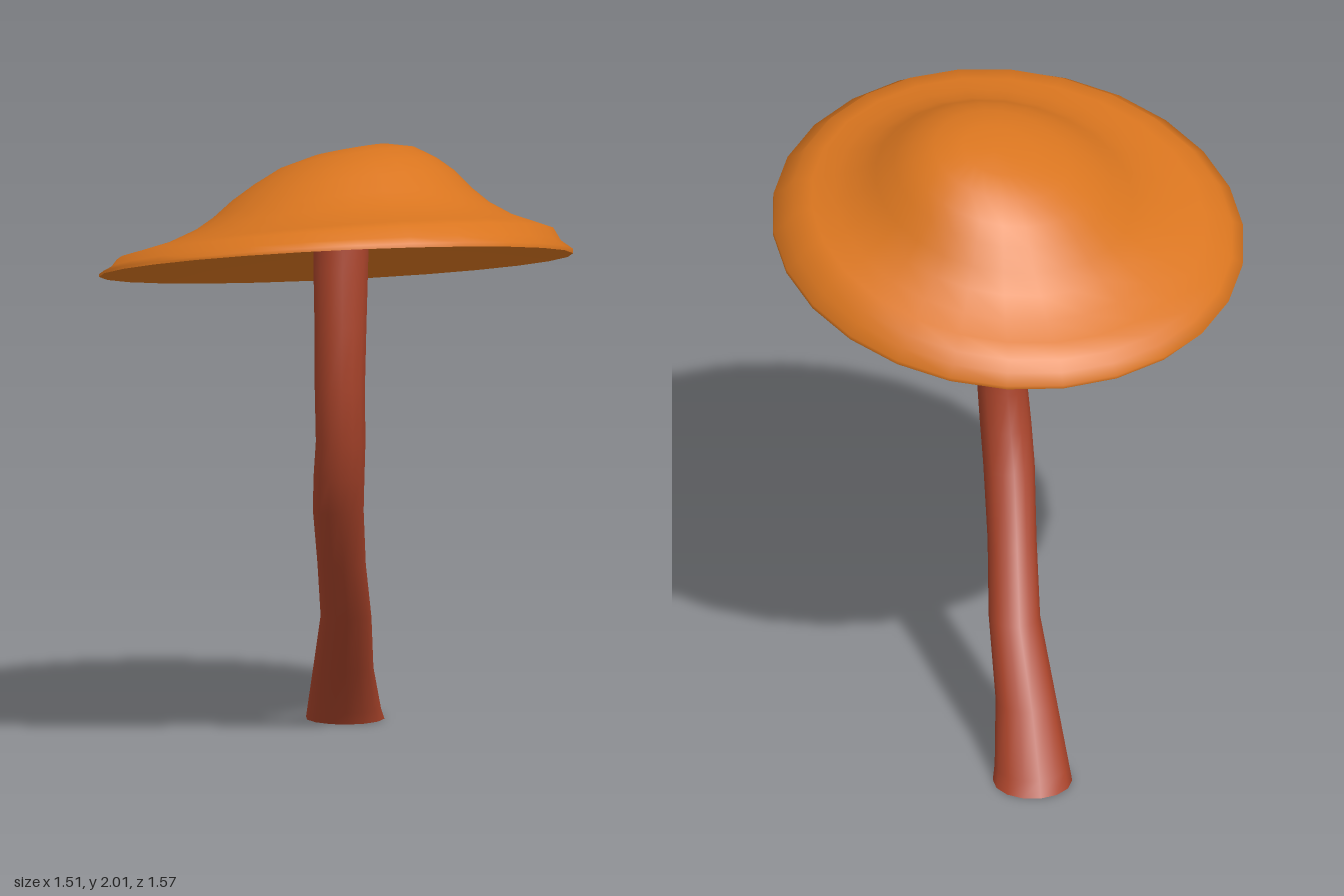
import * as THREE from 'three';
import { toCreasedNormals } from 'three/addons/utils/BufferGeometryUtils.js';

const capMaterial = new THREE.MeshStandardMaterial({ color: 0xd9751f, side: THREE.DoubleSide });
const stemMaterial = new THREE.MeshStandardMaterial({ color: 0xa8432a });

// Moves every vertex of a geometry by a rule, then smooths it up to a crease angle
function shape(geometry, rule, crease) {
  const p = geometry.attributes.position;
  const v = new THREE.Vector3();
  for (let i = 0; i < p.count; i++) {
    rule(v.fromBufferAttribute(p, i));
    p.setXYZ(i, v.x, v.y, v.z);
  }
  return toCreasedNormals(geometry, crease);
}

// Domed cap with a narrow lip and a shallow hollow below, dome leaning to one side
function createCap() {
  const profile = [
    [0, 0.09], [0.3, 0.075], [0.6, 0.03], [0.765, 0],
    [0.765, 0.012], [0.728, 0.035], [0.705, 0.07], [0.64, 0.09], [0.56, 0.115], [0.48, 0.155],
    [0.42, 0.2], [0.36, 0.257], [0.3, 0.3], [0.22, 0.345], [0.12, 0.37], [0, 0.377],
  ].map(([r, y]) => new THREE.Vector2(r, y));
  const geometry = shape(new THREE.LatheGeometry(profile, 26), (v) => {
    const r = Math.hypot(v.x, v.z);
    const lean = Math.max(0, 1 - r / 0.7);
    v.y *= 1 + 0.3 * v.x - 0.15 * v.z;
    v.x += 0.06 * lean;
    v.z -= 0.05 * lean;
  }, 1.2);
  const cap = new THREE.Mesh(geometry, capMaterial);
  cap.name = 'cap';
  const tilt = new THREE.Vector3(-0.138, 1, -0.208).normalize();
  cap.quaternion.setFromUnitVectors(new THREE.Vector3(0, 1, 0), tilt);
  cap.position.set(0, 1.615, 0.033);
  return cap;
}

// Curved stem, flared at the foot: rings of [y, x, z, radius]
function createStem() {
  const rings = [
    [0, -0.25, -0.663, 0.128], [0.04, -0.24, -0.63, 0.12], [0.2, -0.187, -0.492, 0.098],
    [0.4, -0.105, -0.312, 0.083], [0.6, -0.063, -0.17, 0.079], [0.8, -0.02, -0.035, 0.083],
    [0.92, 0.003, 0.015, 0.083], [1.04, 0.022, 0.048, 0.081], [1.22, 0.028, 0.07, 0.082],
    [1.43, 0.025, 0.057, 0.085], [1.6, 0.017, 0.035, 0.089], [1.74, 0.012, 0.015, 0.09],
  ];
  const last = rings.length - 1;
  const geometry = shape(new THREE.CylinderGeometry(1, 1, 1, 14, last), (v) => {
    const [y, x, z, r] = rings[Math.round((v.y + 0.5) * last)];
    // the upper rings tip with the cap
    const tip = y > 1.5 ? 0.15 : 0;
    v.set(x + v.x * r, y + tip * v.z * r, z + v.z * r);
  }, 0.9);
  const stem = new THREE.Mesh(geometry, stemMaterial);
  stem.name = 'stem';
  return stem;
}

export function createModel() {
  const mushroom = new THREE.Group();
  mushroom.name = 'mushroom';
  mushroom.add(createCap(), createStem());
  return mushroom;
}
